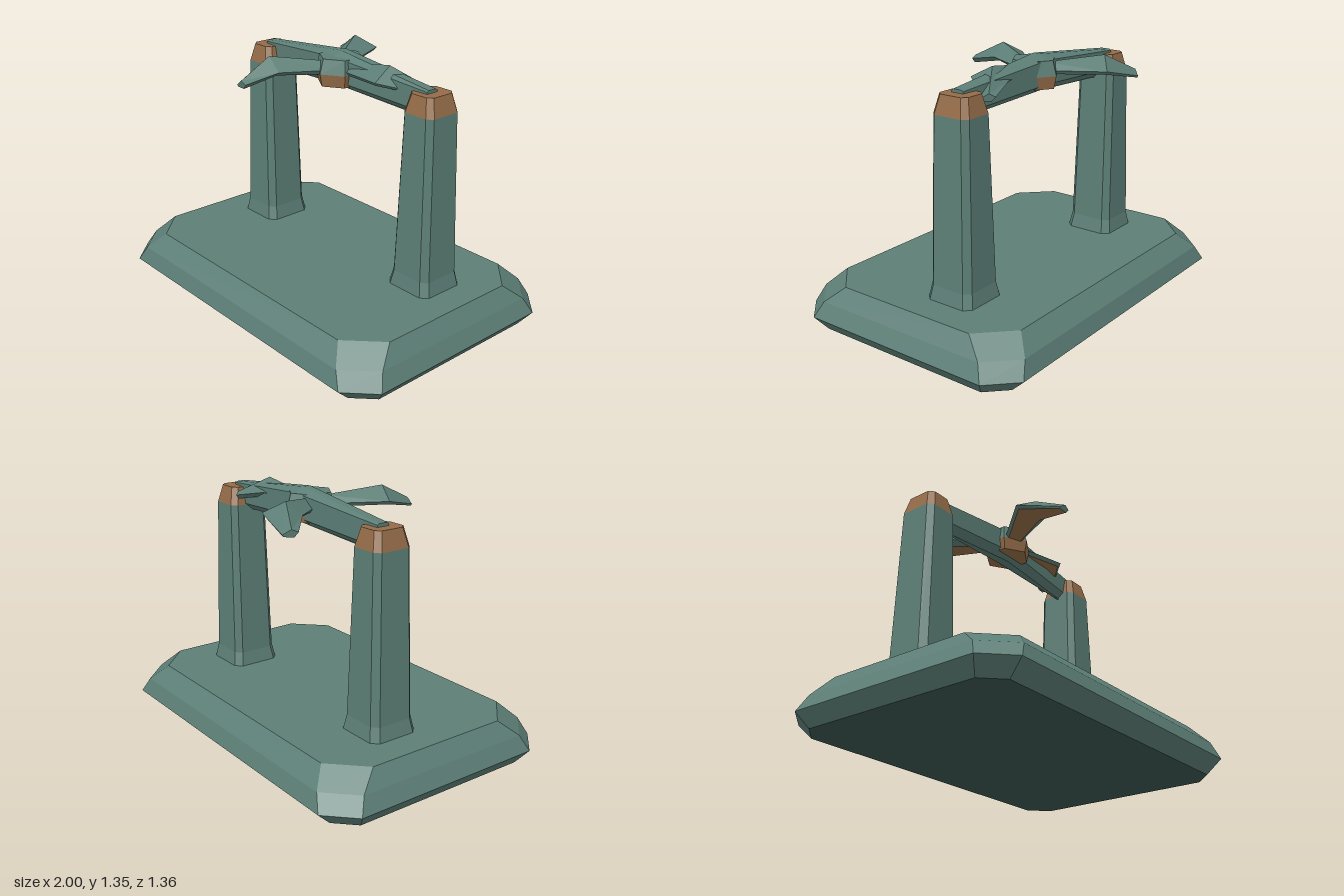
import * as THREE from 'three';

const material = (name, color) => {
  const m = new THREE.MeshStandardMaterial({ color, flatShading: true });
  m.name = name;
  return m;
};
const green = material('weathered green', 0x5c7e76);
const brown = material('bronze brown', 0x946c48);
const dark = material('dark underside', 0x3b5650);
const palette = [green, brown, dark];
const GREEN = 0, BROWN = 1, DARK = 2;

// Skin rings of [x, y, z] points and cap both ends; sides and firstCap index the palette.
function loft(name, rings, sides, firstCap = sides[0]) {
  const n = rings[0].length;
  const tris = [];
  for (let j = 0; j < n; j++) {
    const k = (j + 1) % n, m = sides[j % sides.length];
    for (let i = 0; i < rings.length - 1; i++) {
      const [a, b, c, d] = [rings[i][j], rings[i][k], rings[i + 1][k], rings[i + 1][j]];
      tris.push([a, b, c, m], [a, c, d, m]);
    }
  }
  const first = rings[0], last = rings[rings.length - 1];
  for (let j = 1; j < n - 1; j++) {
    tris.push([first[0], first[j + 1], first[j], firstCap], [last[0], last[j], last[j + 1], sides[0]]);
  }
  // Signed volume tells whether the faces point outward
  const v = (p) => new THREE.Vector3(...p);
  const volume = tris.reduce((s, [a, b, c]) => s + v(a).dot(v(b).cross(v(c))), 0);
  const geometry = new THREE.BufferGeometry();
  const pos = [];
  tris.forEach(([a, b, c, m], i) => {
    pos.push(...a, ...(volume > 0 ? b : c), ...(volume > 0 ? c : b));
    geometry.addGroup(i * 3, 3, m);
  });
  geometry.setAttribute('position', new THREE.Float32BufferAttribute(pos, 3));
  geometry.computeVertexNormals();
  const mesh = new THREE.Mesh(geometry, palette);
  mesh.name = name;
  return mesh;
}

// Rectangle with cut corners at height y
function cutRect(y, hx, hz, cut, cx = 0, cz = 0) {
  return [
    [hx, hz - cut], [hx, -hz + cut], [hx - cut, -hz], [-hx + cut, -hz],
    [-hx, -hz + cut], [-hx, hz - cut], [-hx + cut, hz], [hx - cut, hz],
  ].map(([x, z]) => [cx + x, y, cz + z]);
}

// Hexagon with points toward the front and back
function hexagon(y, rx, rz) {
  return Array.from({ length: 6 }, (_, i) => {
    const a = (i * Math.PI) / 3;
    return [Math.sin(a) * rx, y, -0.095 + Math.cos(a) * rz];
  });
}

// Crossbeam section: narrow crown, sloped shoulders, straight flanks, bevelled bottom
function beamSection(x, top, shoulder, bottom, crownHw, hw, cz) {
  const half = [[crownHw, top], [hw, shoulder], [hw, bottom + 0.036], [hw - 0.042, bottom]];
  return [
    ...half.map(([z, y]) => [x, y, cz + z]),
    ...half.reverse().map(([z, y]) => [x, y, cz - z]),
  ];
}

export function createModel() {
  const model = new THREE.Group();
  model.name = 'monument';

  // Bevelled base slab with dark underside
  model.add(loft('base', [
    cutRect(0, 0.94, 0.6, 0.1),
    cutRect(0.077, 1.0, 0.68, 0.14),
    cutRect(0.16, 0.96, 0.65, 0.15),
    cutRect(0.245, 0.9, 0.568, 0.168),
  ], [GREEN], DARK));

  // Tapered pillars with brown caps
  for (const side of [-1, 1]) {
    const x = side * 0.608, z = -0.128;
    const name = side > 0 ? 'left' : 'right';
    model.add(loft(name + 'Pillar', [
      cutRect(0.24, 0.139, 0.139, 0.035, x, z),
      cutRect(0.32, 0.122, 0.125, 0.032, x, z),
      cutRect(1.165, 0.096, 0.108, 0.028, x, z),
    ], [GREEN]));
    model.add(loft(name + 'PillarCap', [
      cutRect(1.165, 0.096, 0.108, 0.028, x, z),
      cutRect(1.26, 0.072, 0.086, 0.025, x, z),
    ], [BROWN]));
  }

  // Crossbeam, thickest in the middle
  model.add(loft('crossbeam', [
    beamSection(-0.62, 1.277, 1.27, 1.13, 0.024, 0.035, -0.132),
    beamSection(0, 1.345, 1.318, 1.16, 0.022, 0.068, -0.115),
    beamSection(0.62, 1.277, 1.27, 1.13, 0.024, 0.035, -0.118),
  ], [GREEN]));

  // Hub with a brown underside block
  model.add(loft('hub', [hexagon(1.243, 0.13, 0.14), hexagon(1.32, 0.115, 0.118)], [GREEN]));
  model.add(loft('hubUnderside', [hexagon(1.177, 0.116, 0.126), hexagon(1.243, 0.13, 0.14)], [BROWN]));

  // Three bent blades; each section runs ridge, left edge, two bottom corners, right edge as [out, across, y]
  const sections = [
    [[0.06, -0.005, 1.295], [0.06, -0.055, 1.26], [0.06, -0.04, 1.24], [0.06, 0.02, 1.23], [0.06, 0.035, 1.255]],
    [[0.353, -0.06, 1.338], [0.345, -0.18, 1.275], [0.343, -0.163, 1.257], [0.33, -0.02, 1.245], [0.33, 0.016, 1.268]],
    [[0.528, 0.005, 1.247], [0.533, -0.038, 1.22], [0.531, -0.034, 1.21], [0.518, 0.015, 1.208], [0.515, 0.035, 1.232]],
  ];
  [107, 227, 347].forEach((degrees, i) => {
    const a = (degrees * Math.PI) / 180;
    const [ux, uz] = [Math.cos(a), Math.sin(a)];
    const rings = sections.map((ring) => ring.map(([r, w, y]) =>
      [-0.01 + ux * r + uz * w, y, -0.085 + uz * r - ux * w]));
    model.add(loft('blade' + (i + 1), rings, [GREEN, GREEN, BROWN, GREEN, GREEN]));
  });

  return model;
}
